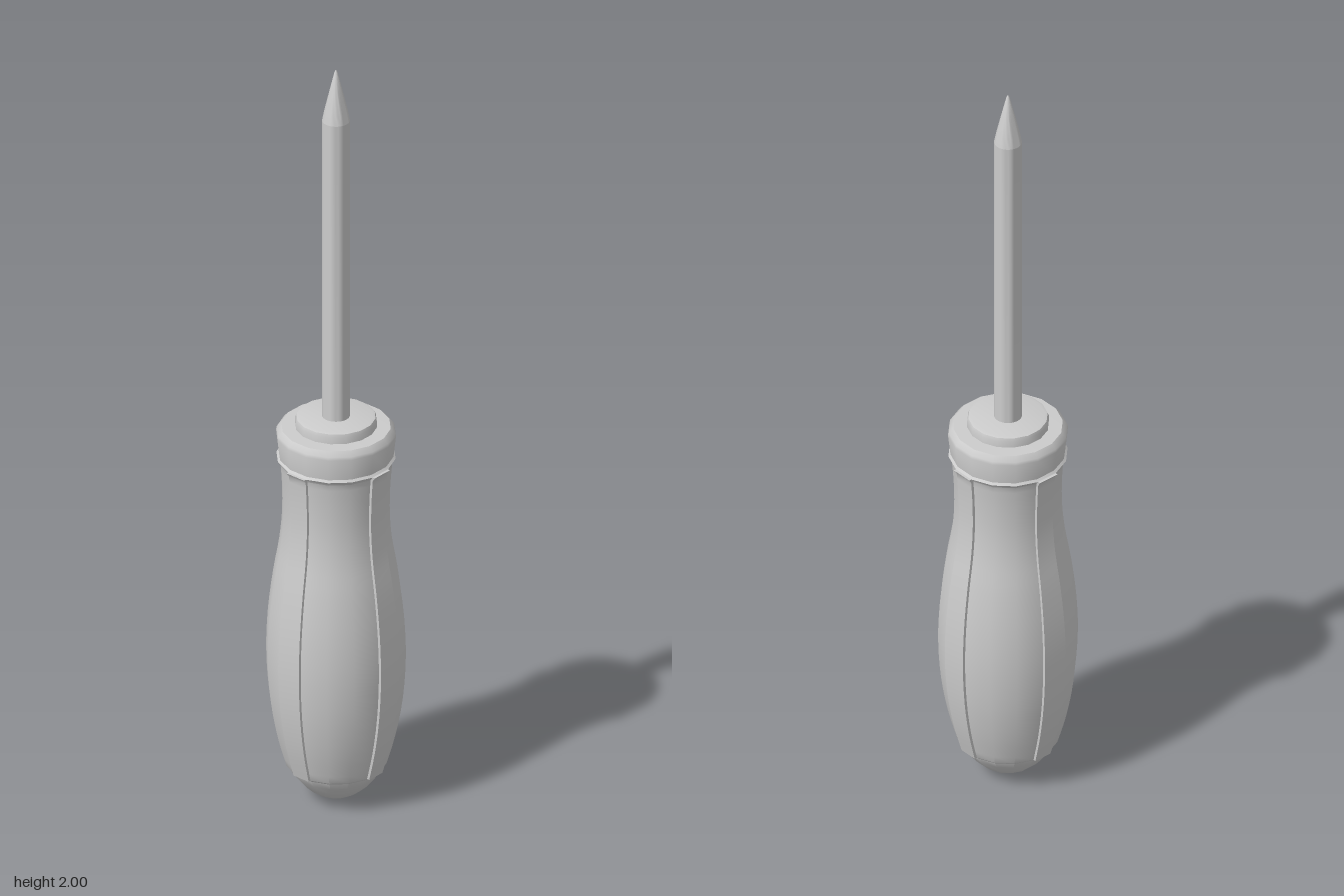
import * as THREE from 'three';
import { toCreasedNormals } from 'three/addons/utils/BufferGeometryUtils.js';

const SIDES = 16;
const HALF = Math.PI / SIDES; // turns a flat facet towards each axis
const material = new THREE.MeshStandardMaterial({ color: 0xcccccc });

function mesh(name, geometry, crease = 0.6) {
  const m = new THREE.Mesh(toCreasedNormals(geometry, crease), material);
  m.name = name;
  return m;
}

// Turned part from [radius, height] pairs, bottom to top
function turned(name, pairs, sides = SIDES) {
  const points = pairs.map(([r, y]) => new THREE.Vector2(r, y));
  return mesh(name, new THREE.LatheGeometry(points, sides, Math.PI / sides));
}

// Grip silhouette, smoothed through a few control points
const gripCurve = new THREE.SplineCurve([
  [0.124, 0.095], [0.147, 0.18], [0.164, 0.28], [0.171, 0.39], [0.167, 0.5],
  [0.154, 0.61], [0.139, 0.7], [0.132, 0.78], [0.133, 0.86], [0.138, 0.925],
].map(([r, y]) => new THREE.Vector2(r, y)));
const gripProfile = gripCurve.getPoints(27).map((p) => [p.x, p.y]);

// Raised strip that follows one facet of the grip
function ribGeometry(height) {
  const profile = [...gripProfile, [0.146, 0.936]];
  const positions = [];
  const index = [];
  for (const [r, y] of profile) {
    const w = r * Math.sin(HALF);
    const d = r * Math.cos(HALF);
    positions.push(-w, y, d - 0.012, w, y, d - 0.012, w, y, d + height, -w, y, d + height);
  }
  for (let i = 0; i < profile.length - 1; i++) {
    for (let k = 0; k < 4; k++) {
      const a = i * 4 + k;
      const b = i * 4 + ((k + 1) % 4);
      index.push(a, a + 4, b, b, a + 4, b + 4);
    }
  }
  const t = (profile.length - 1) * 4;
  index.push(0, 1, 2, 0, 2, 3, t, t + 2, t + 1, t, t + 3, t + 2);
  const g = new THREE.BufferGeometry();
  g.setAttribute('position', new THREE.Float32BufferAttribute(positions, 3));
  g.setIndex(index);
  return g;
}

export function createModel() {
  const group = new THREE.Group();
  group.name = 'screwdriver';

  // Rounded butt of the handle
  group.add(turned('endCap', [
    [0, 0], [0.022, 0.003], [0.045, 0.012], [0.067, 0.026], [0.088, 0.046],
    [0.106, 0.069], [0.119, 0.09], [0.119, 0.1], [0, 0.1],
  ]));

  // Waisted grip with a flared upper lip
  group.add(turned('grip', [
    [0, 0.09], [0.119, 0.09], ...gripProfile, [0.146, 0.936], [0.14, 0.942], [0, 0.942],
  ]));

  // Four raised ribs
  const rib = ribGeometry(0.007);
  for (let i = 0; i < 4; i++) {
    const m = mesh('rib', rib);
    m.rotation.y = i * Math.PI / 2;
    group.add(m);
  }

  // Collar and ferrule
  group.add(turned('collar', [
    [0, 0.935], [0.14, 0.935], [0.147, 0.998], [0.145, 1.006], [0.134, 1.018], [0, 1.022],
  ]));
  group.add(turned('ferrule', [
    [0, 1.01], [0.1, 1.01], [0.1, 1.036], [0.097, 1.044], [0.09, 1.046], [0, 1.046],
  ]));

  // Round shaft with a pointed tip
  group.add(turned('shaft', [[0, 1.03], [0.034, 1.03], [0.034, 1.86]], 32));
  group.add(turned('tip', [
    [0.034, 1.86], [0.029, 1.886], [0.016, 1.942], [0.004, 1.992], [0, 2],
  ], 32));

  return group;
}
